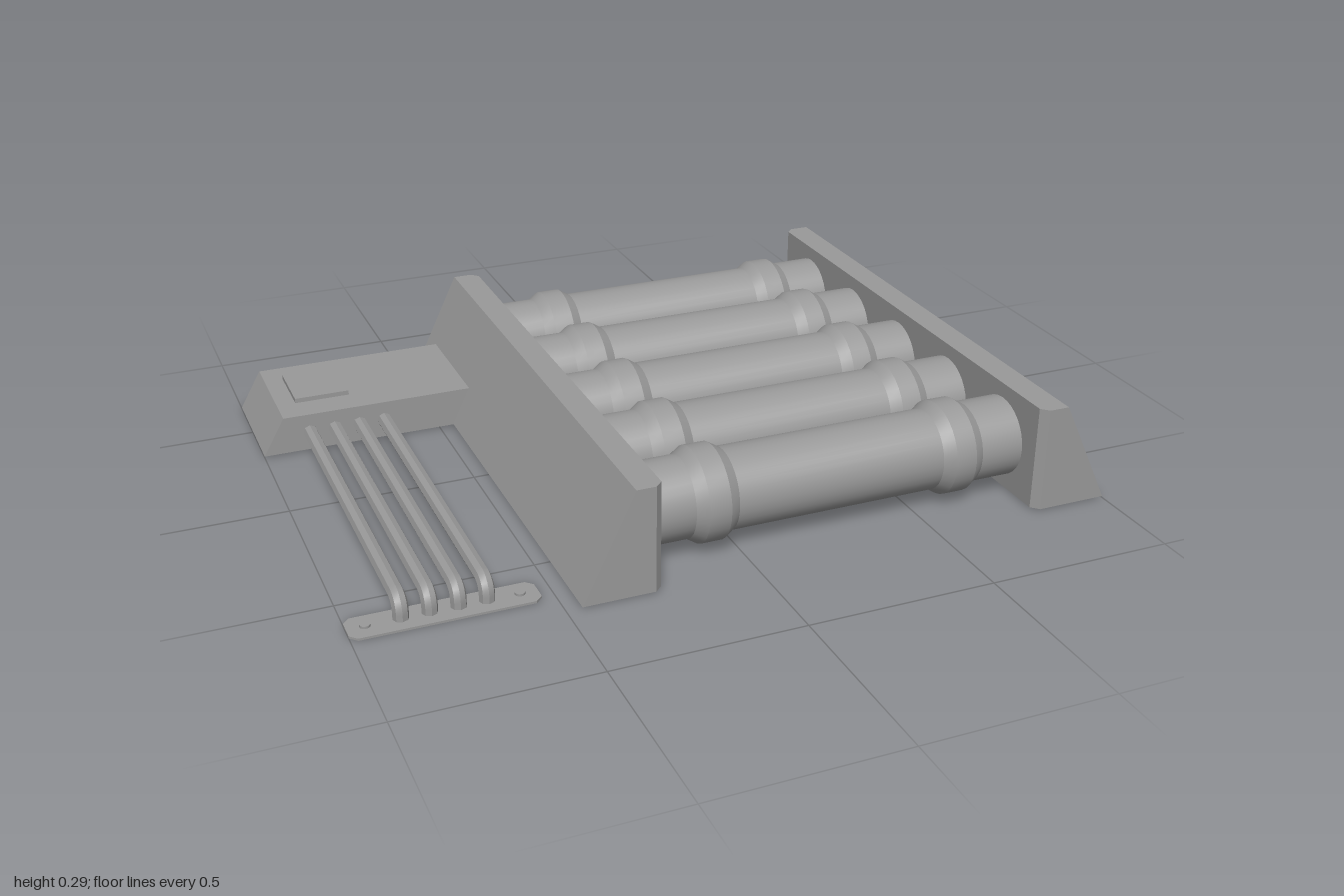
import * as THREE from 'three';
import { toCreasedNormals } from 'three/addons/utils/BufferGeometryUtils.js';

const grey = new THREE.MeshStandardMaterial({ color: 0x999999, side: THREE.DoubleSide });

function add(parent, name, geometry, x = 0, y = 0, z = 0) {
  const mesh = new THREE.Mesh(geometry, grey);
  mesh.name = name;
  mesh.position.set(x, y, z);
  parent.add(mesh);
  return mesh;
}

// Hollow housing, open underneath: walls between two [x, z] loops plus a lid.
// Loops run counter-clockwise as seen from above.
function housing(bottom, top, y0, y1) {
  const pos = [];
  const tri = (...points) => points.forEach((p) => pos.push(...p));
  const n = bottom.length;
  const low = bottom.map(([x, z]) => [x, y0, z]);
  const high = top.map(([x, z]) => [x, y1, z]);
  for (let i = 0; i < n; i++) {
    const j = (i + 1) % n;
    tri(low[i], low[j], high[j]);
    tri(low[i], high[j], high[i]);
    if (i > 0 && i < n - 1) tri(high[0], high[i], high[i + 1]);
  }
  const geometry = new THREE.BufferGeometry();
  geometry.setAttribute('position', new THREE.Float32BufferAttribute(pos, 3));
  geometry.computeVertexNormals();
  return geometry;
}

// Plan of an end housing, side = -1 or 1, with chamfered inner corners
function endPlan(side, outer, inner) {
  const h = 0.735, c = 0.02;
  const loop = [
    [outer, h], [inner + side * c, h], [inner, h - c],
    [inner, -h + c], [inner + side * c, -h], [outer, -h],
  ];
  return side < 0 ? loop : loop.reverse();
}

export function createModel() {
  const model = new THREE.Group();
  model.name = 'rollerRack';

  // Sloping end housings
  add(model, 'rightEndHousing',
    housing(endPlan(-1, -0.46, -0.252), endPlan(-1, -0.323, -0.252), 0.004, 0.288));
  add(model, 'leftEndHousing',
    housing(endPlan(1, 1.0, 0.788), endPlan(1, 0.862, 0.788), 0.004, 0.288));

  // Five cylinders, each with two bevelled collars, ends reaching into the housings
  const r = 0.107, R = 0.125;
  const profile = [
    [0, -0.285], [r, -0.285], [r, -0.134], [R, -0.105], [R, -0.048], [r, -0.019],
    [r, 0.555], [R, 0.584], [R, 0.641], [r, 0.67], [r, 0.82], [0, 0.82],
  ].map(([radius, x]) => new THREE.Vector2(radius, x));
  const cylinder = toCreasedNormals(
    new THREE.LatheGeometry(profile, 32).rotateZ(-Math.PI / 2), 0.4);
  for (let i = 0; i < 5; i++) {
    add(model, 'cylinder' + (i + 1), cylinder, 0, 0.142, (i - 2) * 0.275);
  }

  // Side box with a raised lid panel
  add(model, 'controlBox', housing(
    [[-1, -0.327], [-0.403, -0.327], [-0.403, -0.668], [-1, -0.668]],
    [[-0.94, -0.327], [-0.403, -0.327], [-0.403, -0.668], [-0.94, -0.668]], 0.004, 0.109));
  add(model, 'lidPanel', new THREE.BoxGeometry(0.152, 0.014, 0.174), -0.812, 0.115, -0.501);

  // Four faceted pipes running from the box and bending down into the foot plate
  const path = new THREE.CurvePath();
  const v = (y, z) => new THREE.Vector3(0, y, z);
  path.add(new THREE.LineCurve3(v(0.056, -0.4), v(0.056, 0.585)));
  path.add(new THREE.QuadraticBezierCurve3(v(0.056, 0.585), v(0.056, 0.621), v(0.025, 0.621)));
  path.add(new THREE.LineCurve3(v(0.025, 0.621), v(0.002, 0.621)));
  const pipe = toCreasedNormals(new THREE.TubeGeometry(path, 120, 0.02, 8), 0.6);
  for (let i = 0; i < 4; i++) add(model, 'pipe' + (i + 1), pipe, -0.869 + i * 0.07, 0, 0);

  // Foot plate with clipped corners
  const w = 0.2335, d = 0.0465, c = 0.018;
  const outline = new THREE.Shape([
    [-w + c, -d], [w - c, -d], [w, -d + c], [w, d - c],
    [w - c, d], [-w + c, d], [-w, d - c], [-w, -d + c],
  ].map(([x, y]) => new THREE.Vector2(x, y)));
  const plate = new THREE.ExtrudeGeometry(outline, { depth: 0.006, bevelEnabled: false });
  add(model, 'footPlate', plate.rotateX(-Math.PI / 2), -0.7665, 0, 0.6235);

  // Screw heads on the plate
  for (const x of [-0.955, -0.578]) {
    add(model, 'screwHead', new THREE.CylinderGeometry(0.013, 0.013, 0.006, 16), x, 0.009, 0.6235);
  }
  return model;
}
